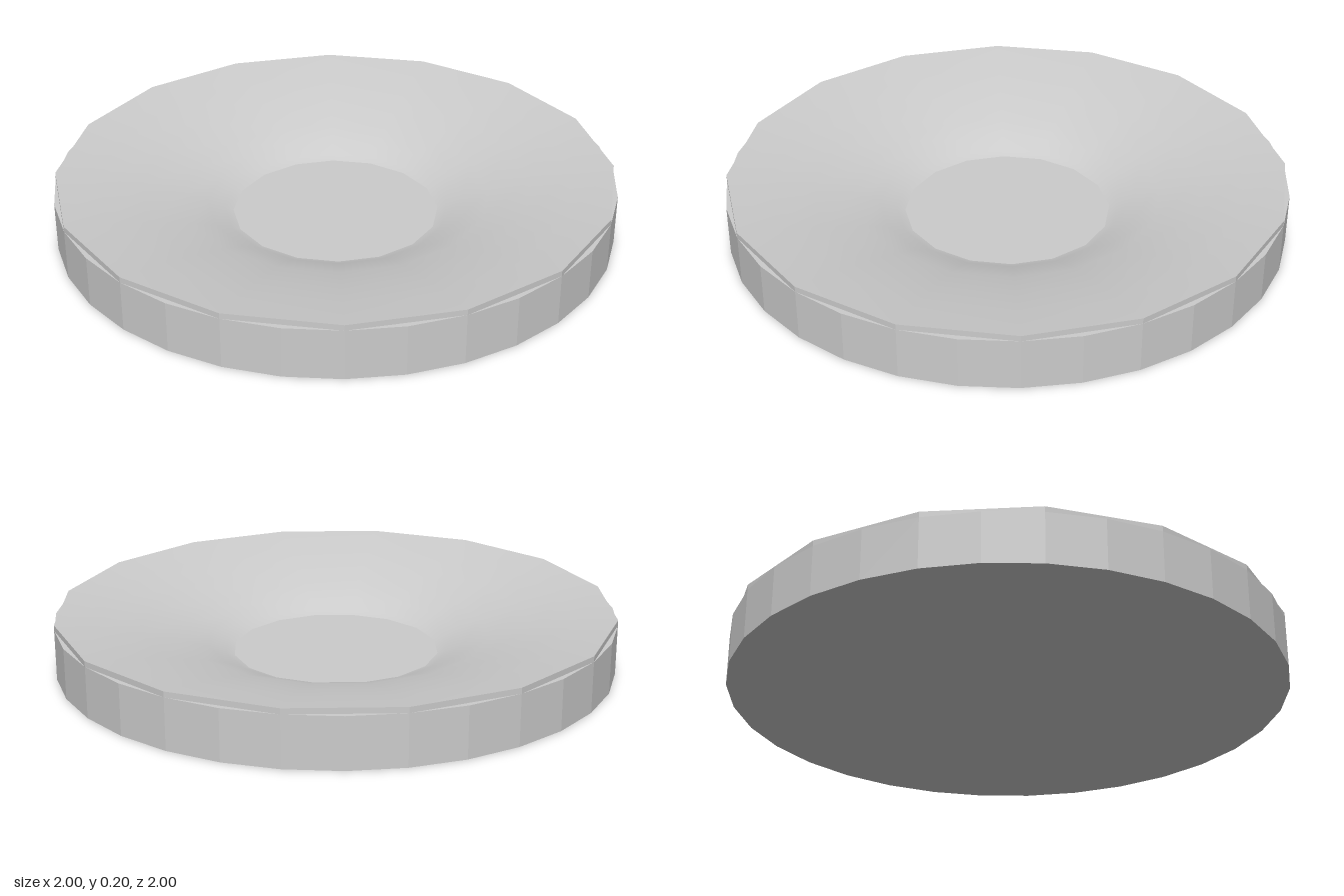
import * as THREE from 'three';

const grey = new THREE.MeshStandardMaterial({ color: 0xcccccc });
const greyFlat = new THREE.MeshStandardMaterial({ color: 0xcccccc, flatShading: true });

function add(group, name, geometry, material, y = 0) {
  const mesh = new THREE.Mesh(geometry, material);
  mesh.name = name;
  mesh.position.y = y;
  group.add(mesh);
  return mesh;
}

export function createModel() {
  const group = new THREE.Group();
  group.name = 'dish';
  const wallHeight = 0.18, rimHeight = 0.2, floorHeight = 0.04, floorRadius = 0.37;

  // Faceted outer wall
  add(group, 'outerWall', new THREE.CylinderGeometry(1, 1, wallHeight, 32, 1, true), greyFlat, wallHeight / 2);

  // Flat underside
  const base = new THREE.CircleGeometry(1, 32).rotateX(Math.PI / 2);
  add(group, 'underside', base, greyFlat);

  // Narrow ledge between the round wall and the coarser rim
  const ledge = new THREE.RingGeometry(0.97, 1, 32).rotateX(-Math.PI / 2);
  add(group, 'ledge', ledge, greyFlat, wallHeight);

  // Sixteen-sided lip above the wall
  const lipHeight = rimHeight - wallHeight;
  add(group, 'lip', new THREE.CylinderGeometry(1, 1, lipHeight, 16, 1, true), greyFlat, wallHeight + lipHeight / 2);

  // Smooth sloping bowl, profile from rim down to floor so it faces up
  const profile = [
    [1, rimHeight], [0.85, 0.176], [0.7, 0.146], [0.55, 0.108],
    [0.46, 0.078], [0.4, 0.05], [floorRadius, floorHeight],
  ].map(([r, y]) => new THREE.Vector2(r, y));
  add(group, 'bowl', new THREE.LatheGeometry(profile, 16), grey);

  // Flat centre of the bowl
  const floor = new THREE.CircleGeometry(floorRadius, 16).rotateX(-Math.PI / 2);
  add(group, 'bowlFloor', floor, greyFlat, floorHeight);

  return group;
}
